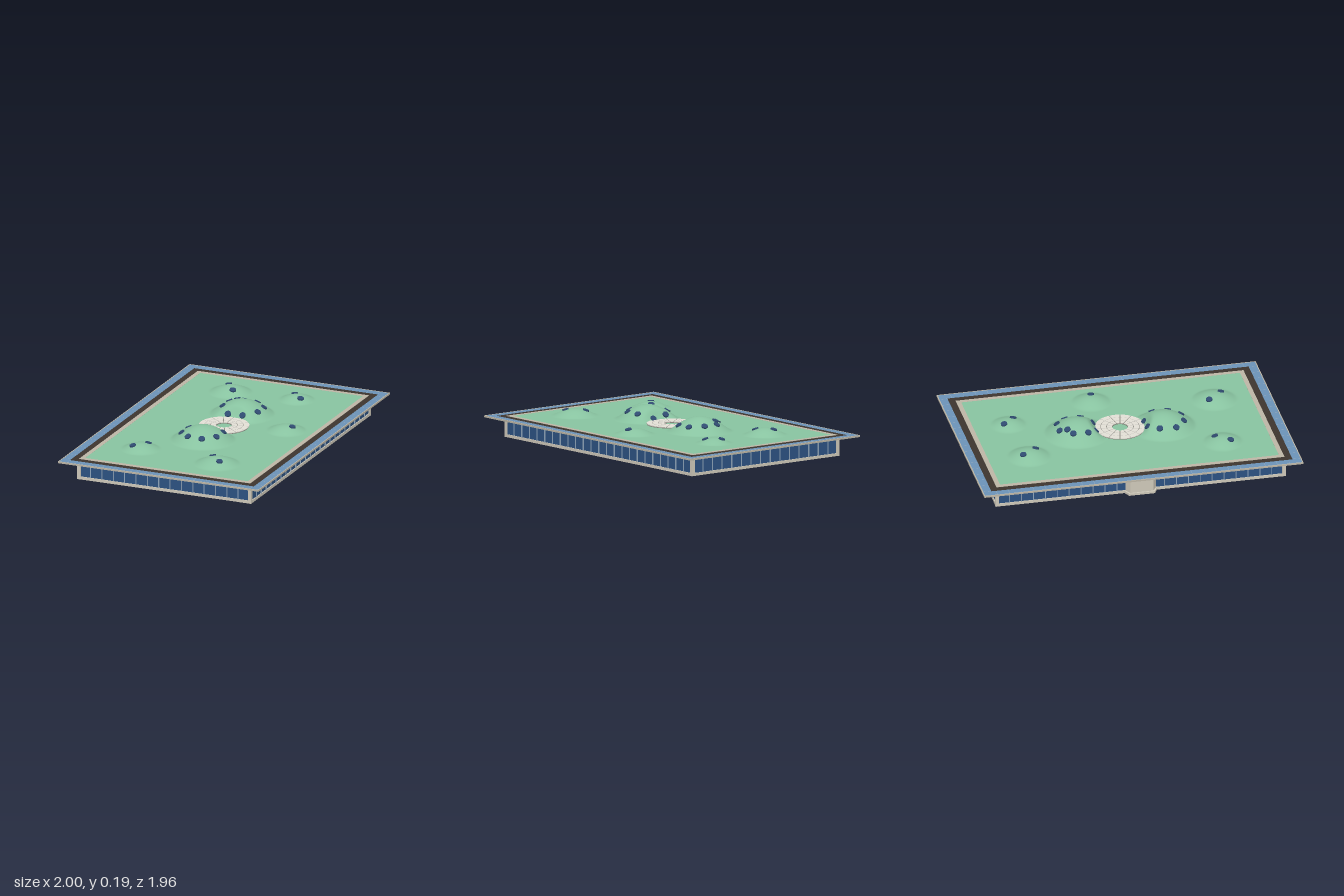
import * as THREE from 'three';

const L = 0.839, W = 0.562;      // roof half length and half width
const BL = 0.762, BW = 0.487;    // building half length and half width
const TURN = 0.73;               // building is turned on the site
const TOP = 0.109;               // lawn level
const C = Math.cos(TURN), S = Math.sin(TURN);
const toLocal = (x, z) => [x * C - z * S, x * S + z * C];

const mat = (color, extra = {}) => new THREE.MeshStandardMaterial({ color, ...extra });
const M = {
  stone: mat(0xcfc9ba), edge: mat(0x9db5a4), blue: mat(0x6b93b8), dark: mat(0x3d352e),
  path: mat(0xbdb6a6), lawn: mat(0x88c3a0, { side: THREE.DoubleSide }), glass: mat(0x2c5282),
  light: mat(0x2f4a70), gold: mat(0xb8954a), canopy: mat(0xe2dfd6), joint: mat(0x8b8980),
  mullion: mat(0x8fa5bb),
};

function add(parent, name, geometry, material, x = 0, y = 0, z = 0) {
  const mesh = new THREE.Mesh(geometry, material);
  mesh.name = name;
  mesh.position.set(x, y, z);
  parent.add(mesh);
  return mesh;
}
const box = (parent, name, w, h, d, material, x, y, z) =>
  add(parent, name, new THREE.BoxGeometry(w, h, d), material, x, y, z);

// Mounds: world x, world z, radius, height
const mounds = [
  [0.17, -0.15, 0.168, 0.077], [-0.18, 0.135, 0.168, 0.077],
  [0.26, -0.49, 0.112, 0.036], [0.52, -0.24, 0.092, 0.027], [0.27, 0.18, 0.102, 0.03],
  [-0.53, 0.135, 0.102, 0.031], [-0.27, 0.51, 0.118, 0.036],
].map(([x, z, r, h]) => [...toLocal(x, z), r, h]);

// Lawn height: rounded mounds that fade out around the central court
function height(x, z) {
  let h = 0;
  for (const [mx, mz, r, top] of mounds) {
    const t = Math.hypot(x - mx, z - mz) / r;
    if (t < 1) h = Math.max(h, top * Math.pow(1 - t * t, 1.25));
  }
  return h * THREE.MathUtils.smoothstep(Math.hypot(x, z), 0.1, 0.17);
}

// Rectangular band between two insets from the roof edge
function band(parent, name, a, b, y0, y1, material) {
  const rect = (P, d) => {
    const x = L - d, z = W - d;
    return new P([[-x, -z], [x, -z], [x, z], [-x, z]].map(p => new THREE.Vector2(...p)));
  };
  const shape = rect(THREE.Shape, a);
  shape.holes.push(rect(THREE.Path, b));
  const g = new THREE.ExtrudeGeometry(shape, { depth: y1 - y0, bevelEnabled: false });
  add(parent, name, g.rotateX(-Math.PI / 2), material, 0, y0, 0);
}

// One glazed wall, facing +z
function wall(length, bays) {
  const g = new THREE.Group();
  g.name = 'glazedWall';
  box(g, 'glazing', length, 0.074, 0.006, M.glass, 0, 0.052, -0.008);
  box(g, 'topRail', length, 0.007, 0.014, M.gold, 0, 0.092, -0.007);
  for (let i = 0; i <= bays; i++)
    box(g, 'mullion', 0.0035, 0.076, 0.008, M.mullion, (i / bays - 0.5) * length, 0.052, -0.004);
  return g;
}

function buildWalls(parent) {
  box(parent, 'base', 2 * BL, 0.015, 2 * BW, M.stone, 0, 0.0075, 0);
  box(parent, 'core', 2 * BL - 0.024, 0.09, 2 * BW - 0.024, M.glass, 0, 0.055, 0);
  for (const s of [1, -1]) {
    const long = wall(2 * BL - 0.02, 24);
    long.position.z = s * BW;
    long.rotation.y = s > 0 ? 0 : Math.PI;
    const short = wall(2 * BW - 0.02, 15);
    short.position.x = s * BL;
    short.rotation.y = s * Math.PI / 2;
    parent.add(long, short);
    for (const t of [1, -1])
      box(parent, 'cornerPillar', 0.018, 0.1, 0.018, M.stone, s * (BL - 0.008), 0.05, t * (BW - 0.008));
  }
  // Bevelled entrance porch at the back
  const porch = (w, d) => new THREE.Shape([[-w, 0], [-w + 0.02, d], [w - 0.02, d], [w, 0]]
    .map(p => new THREE.Vector2(...p)));
  const opt = h => ({ depth: h, bevelEnabled: false });
  add(parent, 'entrancePorch', new THREE.ExtrudeGeometry(porch(0.08, 0.032), opt(0.1))
    .rotateX(-Math.PI / 2), M.stone, 0, 0, -BW + 0.005);
  add(parent, 'entranceStep', new THREE.ExtrudeGeometry(porch(0.088, 0.04), opt(0.012))
    .rotateX(-Math.PI / 2), M.stone, 0, 0, -BW + 0.005);
}

function buildRoof(parent) {
  box(parent, 'roofSlab', 2 * L - 0.004, 0.006, 2 * W - 0.004, M.edge, 0, 0.102, 0);
  band(parent, 'roofRim', 0, 0.005, 0.1, 0.109, M.path);
  band(parent, 'glassEaves', 0.005, 0.047, 0.104, 0.108, M.blue);
  band(parent, 'darkGutter', 0.047, 0.082, 0.104, 0.108, M.dark);
  band(parent, 'gravelPath', 0.082, 0.106, 0.104, 0.1095, M.path);
  // Fine joints across the eaves
  for (const s of [1, -1]) {
    for (let i = -12; i <= 12; i++)
      box(parent, 'eavesJoint', 0.002, 0.001, 0.04, M.mullion, i * 0.064, 0.108, s * (W - 0.026));
    for (let i = -8; i <= 8; i++)
      box(parent, 'eavesJoint', 0.04, 0.001, 0.002, M.mullion, s * (L - 0.026), 0.108, i * 0.064);
  }
  // Lawn with mounds
  const g = new THREE.PlaneGeometry(2 * (L - 0.105), 2 * (W - 0.105), 160, 100).rotateX(-Math.PI / 2);
  const p = g.attributes.position;
  for (let i = 0; i < p.count; i++) p.setY(i, height(p.getX(i), p.getZ(i)));
  g.computeVertexNormals();
  add(parent, 'lawn', g, M.lawn, 0, TOP, 0);
}

function buildSkylights(parent) {
  const spots = [
    [0.14, -0.24], [0.18, -0.23], [0.22, -0.24], [0.08, -0.19], [0.27, -0.18], [0.27, -0.1],
    [0.21, -0.045], [0.13, -0.055], [0.075, -0.115],
    [-0.215, 0.035], [-0.28, 0.09], [-0.28, 0.17], [-0.23, 0.23], [-0.15, 0.235],
    [-0.085, 0.18], [-0.085, 0.1], [-0.14, 0.04],
    [0.27, -0.535], [0.25, -0.44], [0.525, -0.28], [0.52, -0.195], [0.29, 0.21],
    [-0.575, 0.135], [-0.485, 0.13], [-0.27, 0.455], [-0.28, 0.56],
  ];
  const geo = new THREE.CylinderGeometry(0.0165, 0.0175, 0.012, 20);
  const up = new THREE.Vector3(0, 1, 0), e = 0.008;
  for (const [wx, wz] of spots) {
    const [x, z] = toLocal(wx, wz);
    const n = new THREE.Vector3(height(x - e, z) - height(x + e, z), 2 * e,
      height(x, z - e) - height(x, z + e)).normalize();
    add(parent, 'skylight', geo, M.light, x, TOP + height(x, z), z).quaternion.setFromUnitVectors(up, n);
  }
}

// Flat ring segment with thickness, lying level
function segment(r0, r1, a0, a1, h) {
  const s = new THREE.Shape();
  s.absarc(0, 0, r1, a0, a1, false);
  s.absarc(0, 0, r0, a1, a0, true);
  return new THREE.ExtrudeGeometry(s, { depth: h, bevelEnabled: false, curveSegments: 6 }).rotateX(-Math.PI / 2);
}

function buildCanopy(parent) {
  const canopy = new THREE.Group();
  canopy.name = 'courtCanopy';
  parent.add(canopy);
  const n = 14, step = 2 * Math.PI / n;
  for (let i = 0; i < n; i++) {
    const a = i * step;
    add(canopy, 'canopyFrame', segment(0.041, 0.128, a, a + step, 0.004), M.joint, 0, 0.114, 0);
    for (const [r0, r1] of [[0.041, 0.068], [0.071, 0.098], [0.101, 0.13]]) {
      const gap = 0.0018 / r0;
      add(canopy, 'canopyPanel', segment(r0, r1, a + gap, a + step - gap, 0.004), M.canopy, 0, 0.118, 0);
    }
  }
}

export function createModel() {
  const model = new THREE.Group();
  model.name = 'greenRoofPavilion';
  const building = new THREE.Group();
  building.name = 'building';
  building.rotation.y = TURN;
  model.add(building);
  buildWalls(building);
  buildRoof(building);
  buildSkylights(building);
  buildCanopy(building);
  return model;
}
